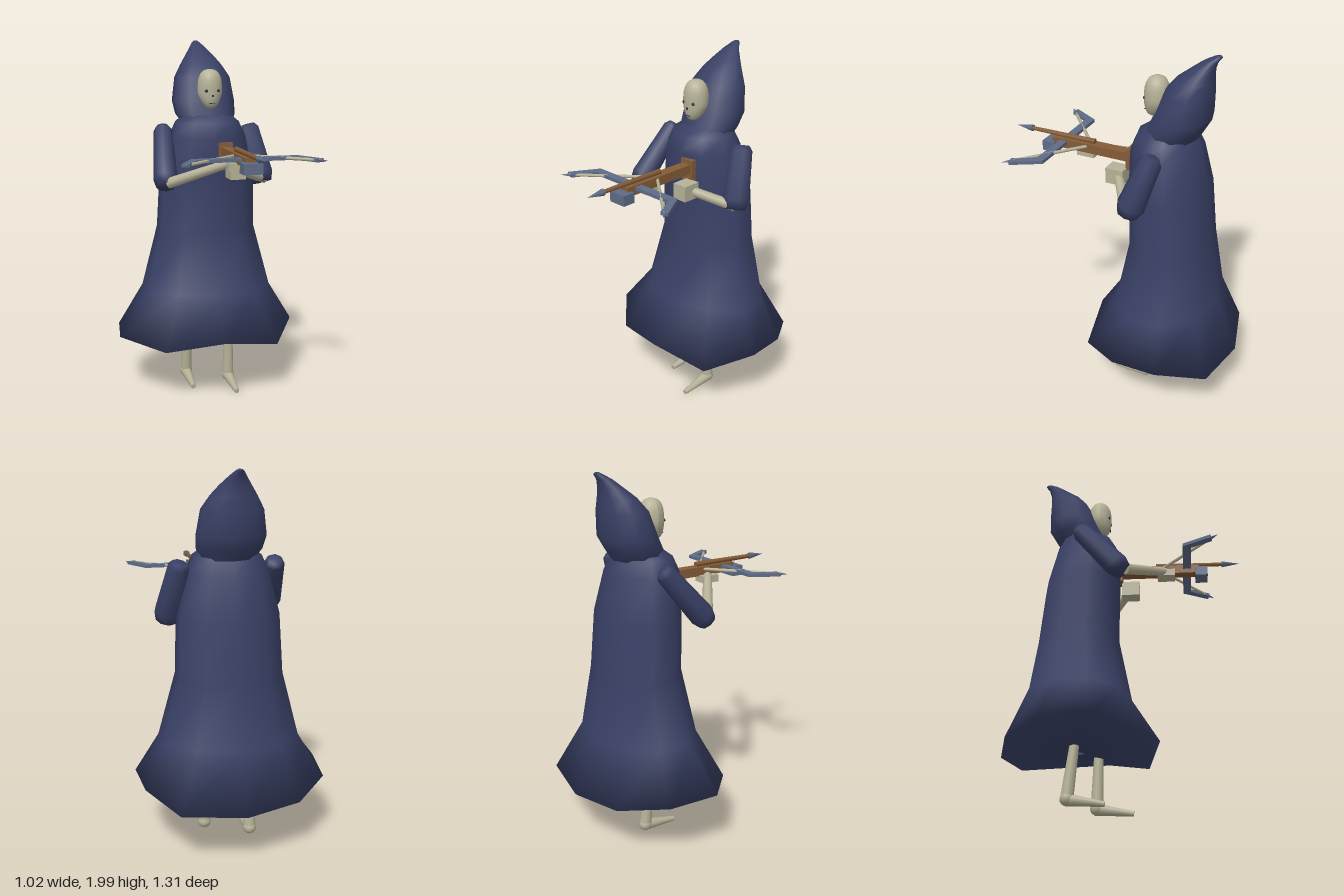
import * as THREE from 'three';

const V = (p) => new THREE.Vector3(...p);
const mat = (name, color, side = THREE.FrontSide) => {
  const m = new THREE.MeshStandardMaterial({ color, side });
  m.name = name;
  return m;
};

export function createModel() {
  const root = new THREE.Group();
  root.name = 'hoodedArcher';
  const cloth = mat('navy cloth', 0x394065, THREE.DoubleSide);
  const bone = mat('bone', 0xb6b298);
  const wood = mat('wood', 0x855c37);
  const steel = mat('steel', 0x5f6c88);
  const dark = mat('dark hollows', 0x2c3050);

  const add = (name, geo, material, pos = [0, 0, 0], parent = root) => {
    const m = new THREE.Mesh(geo, material);
    m.name = name;
    m.position.set(...pos);
    parent.add(m);
    return m;
  };
  const box = (name, size, pos, material, parent) =>
    add(name, new THREE.BoxGeometry(...size), material, pos, parent);

  // Point a mesh's y axis from a to b
  const aim = (m, a, b) => {
    m.quaternion.setFromUnitVectors(new THREE.Vector3(0, 1, 0), V(b).sub(V(a)).normalize());
    return m;
  };
  const limb = (name, a, b, r1, r2, material, sides = 10, parent = root) => {
    const mid = V(a).add(V(b)).multiplyScalar(0.5).toArray();
    const geo = new THREE.CylinderGeometry(r2, r1, V(a).distanceTo(V(b)), sides);
    return aim(add(name, geo, material, mid, parent), a, b);
  };

  // Skin rings of points, bottom to top, with shared smooth normals
  const loft = (rings) => {
    const n = rings[0].length, index = [];
    for (let j = 0; j < rings.length - 1; j++) {
      for (let i = 0; i < n; i++) {
        const a = j * n + i, b = j * n + (i + 1) % n;
        index.push(a, b, b + n, a, b + n, a + n);
      }
    }
    const g = new THREE.BufferGeometry();
    g.setAttribute('position', new THREE.Float32BufferAttribute(rings.flat(2), 3));
    g.setIndex(index);
    g.computeVertexNormals();
    return g;
  };
  const SIDES = 10;
  const oval = ([y, x0, x1, z0, z1]) => Array.from({ length: SIDES }, (_, i) => {
    const t = i / SIDES * Math.PI * 2;
    return [(x0 + x1) / 2 + (x1 - x0) / 2 * Math.sin(t) / 0.951, y,
      (z0 + z1) / 2 + (z1 - z0) / 2 * Math.cos(t)];
  });

  // Robe: closed underside, uneven flared hem, then rings of y, xMin, xMax, zBack, zFront
  const hem = [
    [0.03, 0.375, 0.175], [0.35, 0.315, 0.105], [0.51, 0.385, -0.13], [0.49, 0.37, -0.37],
    [0.35, 0.32, -0.61], [0.02, 0.30, -0.66], [-0.28, 0.315, -0.58], [-0.48, 0.355, -0.38],
    [-0.515, 0.365, -0.11], [-0.295, 0.325, 0.10],
  ];
  add('robe', loft([oval([0.31, -0.01, 0.03, -0.26, -0.22]), hem, ...[
    [0.60, -0.34, 0.385, -0.54, 0.03],
    [0.95, -0.25, 0.295, -0.49, -0.04],
    [1.26, -0.235, 0.285, -0.46, -0.035],
    [1.48, -0.185, 0.23, -0.41, -0.03],
    [1.56, -0.15, 0.195, -0.37, -0.065],
    [1.60, -0.10, 0.15, -0.34, -0.12],
  ].map(oval)]), cloth);

  // Hood: leans back into a blunt point
  add('hood', loft([
    [1.55, -0.11, 0.165, -0.38, -0.10],
    [1.60, -0.14, 0.185, -0.41, -0.12],
    [1.67, -0.15, 0.192, -0.45, -0.155],
    [1.80, -0.13, 0.175, -0.452, -0.205],
    [1.87, -0.09, 0.135, -0.45, -0.265],
    [1.92, -0.055, 0.10, -0.452, -0.33],
    [1.965, -0.022, 0.062, -0.465, -0.39],
    [1.99, -0.002, 0.042, -0.485, -0.435],
    [2.0, 0.01, 0.03, -0.48, -0.455],
    [2.0, 0.019, 0.021, -0.469, -0.467],
  ].map(oval)), cloth);

  // Skull: squared-off sphere narrowed to a jaw that sits forward
  const head = new THREE.Group();
  head.name = 'head';
  head.position.set(0.022, 1.743, -0.155);
  root.add(head);
  const skull = new THREE.SphereGeometry(1, 16, 14);
  const p = skull.attributes.position;
  for (let i = 0; i < p.count; i++) {
    const y = p.getY(i);
    const square = (1 - Math.abs(y) ** 2.6) ** (1 / 2.6) / Math.max(Math.sqrt(1 - y * y), 0.01);
    const low = Math.max(0, -y - 0.25);
    p.setXYZ(i, p.getX(i) * 0.068 * square * (1 - 0.4 * low), y * 0.107,
      p.getZ(i) * 0.066 * square * (1 - 0.3 * low) + low * 0.028);
  }
  skull.computeVertexNormals();
  add('skull', skull, bone, [0, 0, 0], head);
  for (const s of [-1, 1]) {
    add('eyeSocket', new THREE.SphereGeometry(0.011, 8, 6), dark, [s * 0.032, -0.008, 0.056], head)
      .scale.set(1, 0.8, 0.6);
  }
  box('noseHollow', [0.01, 0.012, 0.006], [0, -0.036, 0.066], dark, head);
  box('mouthLine', [0.034, 0.003, 0.006], [0, -0.076, 0.06], dark, head);

  // Sleeves: flat-topped shoulder widening to a cuff
  const sleeve = (name, a, b, r) => {
    const h = V(a).distanceTo(V(b));
    const pts = [[0, 0], [r * 0.6, 0], [r * 0.88, 0.025], [r, h * 0.5], [r * 1.1, h - 0.05],
      [r * 0.85, h], [0, h]].map(([x, y]) => new THREE.Vector2(x, y));
    aim(add(name, new THREE.LatheGeometry(pts, 8), cloth, a), a, b);
  };
  sleeve('rightSleeve', [-0.225, 1.53, -0.25], [-0.264, 1.235, 0.0], 0.06);
  sleeve('leftSleeve', [0.272, 1.53, -0.245], [0.328, 1.215, -0.135], 0.067);

  // Forearms and blocky hands
  limb('rightForearm', [-0.25, 1.255, 0.01], [0.035, 1.385, 0.22], 0.03, 0.024, bone);
  box('rightHand', [0.08, 0.04, 0.1], [0.05, 1.37, 0.228], bone);
  limb('leftForearm', [0.335, 1.235, -0.13], [0.125, 1.315, 0.015], 0.028, 0.025, bone);
  box('leftHand', [0.085, 0.085, 0.1], [0.122, 1.31, 0.02], bone);

  // Legs and feet, the left one a step ahead
  const leg = (name, x, hip, ankle, toe) => {
    const g = new THREE.Group();
    g.name = name;
    root.add(g);
    limb('shin', [x, 0.05, ankle], [x, 0.335, hip], 0.034, 0.025, bone, 12, g);
    add('heel', new THREE.SphereGeometry(0.037, 12, 8), bone, [x, 0.05, ankle], g);
    limb('foot', [x, 0.045, ankle], [x, 0.02, toe], 0.032, 0.014, bone, 10, g);
  };
  leg('leftLeg', 0.135, -0.157, -0.162, 0.03);
  leg('rightLeg', -0.092, -0.258, -0.29, -0.1);

  // Crossbow
  const bow = new THREE.Group();
  bow.name = 'crossbow';
  bow.position.set(0.08, 1.42, 0);
  root.add(bow);
  box('stock', [0.058, 0.05, 0.45], [0, -0.01, 0.19], wood, bow);
  box('butt', [0.08, 0.115, 0.03], [0, -0.02, -0.04], wood, bow);
  box('noseBlock', [0.1, 0.055, 0.07], [0, -0.035, 0.43], steel, bow);
  limb('boltShaft', [0, 0.027, 0.17], [0, 0.027, 0.56], 0.016, 0.012, wood, 6, bow);
  limb('boltHead', [0, 0.027, 0.55], [0, 0.027, 0.65], 0.02, 0, steel, 6, bow);

  // Bow arms: one flat bar with swept tips
  const half = [[0.28, 0.325], [0.365, 0.475], [0.325, 0.485], [0.26, 0.37]];
  const outline = [...half, ...half.map(([x, z]) => [-x, z]).reverse()];
  const shape = new THREE.Shape(outline.map(([x, z]) => new THREE.Vector2(x, z)));
  const bar = new THREE.ExtrudeGeometry(shape, { depth: 0.018, bevelEnabled: false });
  bar.rotateX(Math.PI / 2);
  add('bowArms', bar, steel, [0, 0.008, 0], bow);
  for (const s of [-1, 1]) {
    limb('bowString', [0, 0, 0.19], [s * 0.345, 0, 0.482], 0.009, 0.009, bone, 6, bow);
    limb('bowTip', [s * 0.325, 0, 0.463], [s * 0.375, 0, 0.515], 0.013, 0, steel, 6, bow);
  }
  return root;
}
